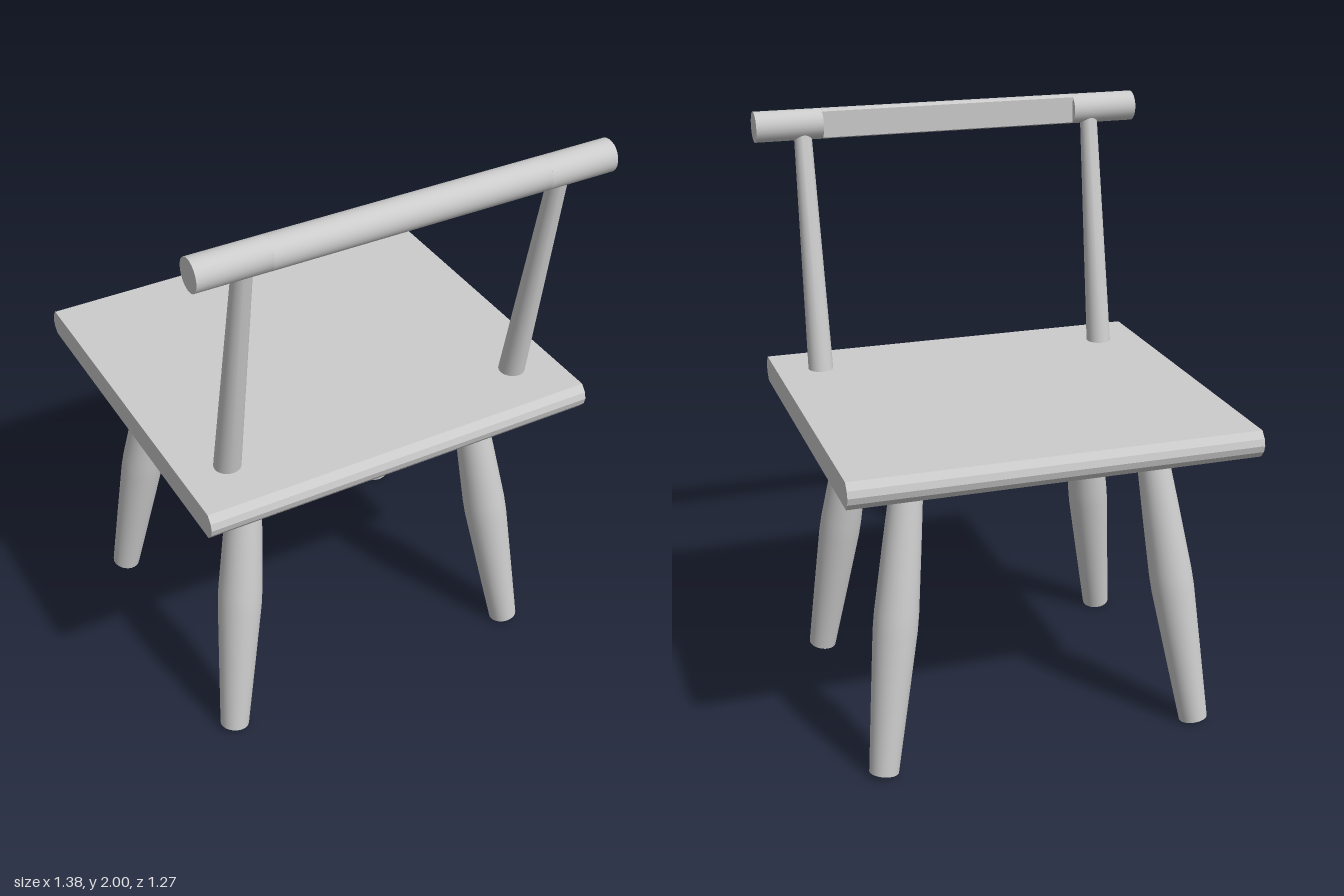
import * as THREE from 'three';
import { toCreasedNormals } from 'three/addons/utils/BufferGeometryUtils.js';

const material = new THREE.MeshStandardMaterial({ color: 0xcccccc });
const V = (x, y, z) => new THREE.Vector3(x, y, z);

function addMesh(group, name, geometry) {
  const mesh = new THREE.Mesh(geometry, material);
  mesh.name = name;
  group.add(mesh);
  return mesh;
}

// Turned rod between two points; profile is a list of [fraction along, radius]
function rod(group, name, from, to, profile) {
  const axis = to.clone().sub(from);
  const length = axis.length();
  const points = profile.map(([t, r]) => new THREE.Vector2(r, t * length));
  points.unshift(new THREE.Vector2(0, 0));
  points.push(new THREE.Vector2(0, length));
  const geometry = toCreasedNormals(new THREE.LatheGeometry(points, 24), 0.6);
  const mesh = addMesh(group, name, geometry);
  mesh.quaternion.setFromUnitVectors(V(0, 1, 0), axis.normalize());
  mesh.position.copy(from);
}

// Extrude a [z, y] outline along x, from x0 to x1
function extrudeAlongX(outline, x0, x1, crease) {
  const shape = new THREE.Shape(outline.map(([z, y]) => new THREE.Vector2(-z, y)));
  const geometry = new THREE.ExtrudeGeometry(shape, { depth: x1 - x0, bevelEnabled: false });
  geometry.rotateY(Math.PI / 2);
  geometry.translate(x0, 0, 0);
  return toCreasedNormals(geometry, crease);
}

export function createModel() {
  const chair = new THREE.Group();
  chair.name = 'chair';

  // Seat slab with rounded front and back edges
  const edge = [-1, -0.5, 0, 0.5, 1].map(t => [0.61 + 0.025 * (1 - t * t), 1.07 + 0.045 * t]);
  const seatOutline = [...edge, ...edge.map(([z, y]) => [-z, y]).reverse()];
  addMesh(chair, 'seat', extrudeAlongX(seatOutline, -0.68, 0.68, 0.1));

  // Four splayed legs, thickest at mid height
  const legProfile = [[0, 0.049], [0.25, 0.062], [0.47, 0.073], [0.53, 0.073], [0.75, 0.063], [1, 0.05]];
  for (const sx of [-1, 1]) {
    for (const sz of [-1, 1]) {
      const name = (sz < 0 ? 'front' : 'back') + (sx > 0 ? 'Left' : 'Right') + 'Leg';
      rod(chair, name, V(sx * 0.553, 0.01, sz * 0.467), V(sx * 0.413, 1.022, sz * 0.327), legProfile);
    }
    // Tapered upright carrying the back rail
    rod(chair, sx > 0 ? 'leftUpright' : 'rightUpright',
      V(sx * 0.525, 1.08, 0.421), V(sx * 0.525, 1.94, 0.577), [[0, 0.044], [1, 0.03]]);
  }

  // Round back rail: full ends and a middle part cut flat on the sitter's side
  const r = 0.0525, railY = 1.9475, railZ = 0.584, cutZ = 0.557;
  const circle = [], flat = [];
  const cutAngle = Math.acos((cutZ - railZ) / r);
  for (let i = 0; i < 24; i++) {
    const a = (i / 24) * Math.PI * 2;
    circle.push([railZ + r * Math.cos(a), railY + r * Math.sin(a)]);
  }
  for (let i = 0; i <= 18; i++) {
    const a = -cutAngle + (i / 18) * cutAngle * 2;
    flat.push([railZ + r * Math.cos(a), railY + r * Math.sin(a)]);
  }
  const rail = new THREE.Group();
  rail.name = 'backRail';
  addMesh(rail, 'railRightEnd', extrudeAlongX(circle, -0.691, -0.458, 0.5));
  addMesh(rail, 'railMiddle', extrudeAlongX(flat, -0.458, 0.458, 0.5));
  addMesh(rail, 'railLeftEnd', extrudeAlongX(circle, 0.458, 0.691, 0.5));
  chair.add(rail);

  return chair;
}
